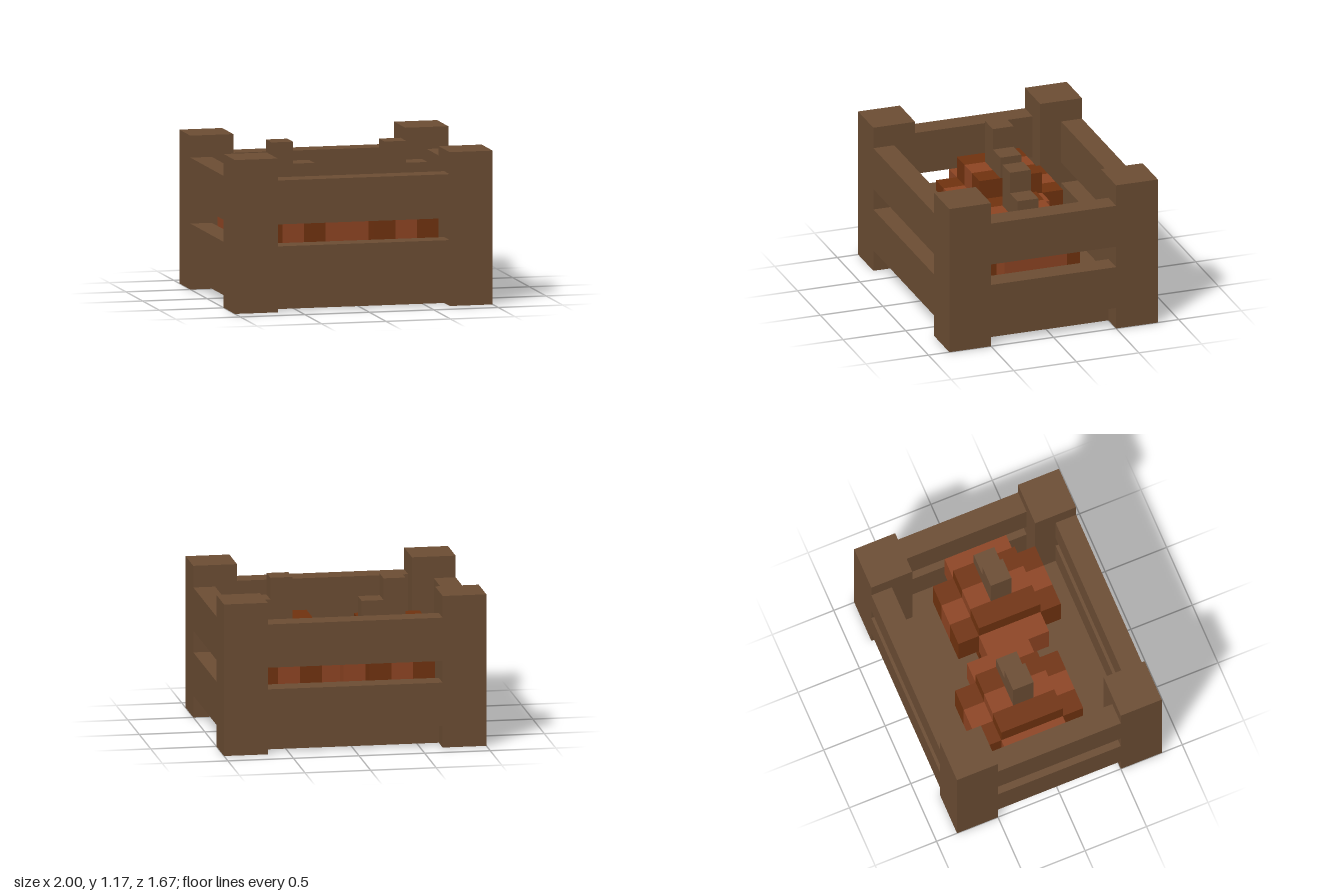
import * as THREE from 'three';

const U = 1 / 6; // size of one block

const wood = new THREE.MeshStandardMaterial({ color: 0x6d4e34 });
wood.name = 'brown wood';
const lightOrange = new THREE.MeshStandardMaterial({ color: 0x8f4523 });
lightOrange.name = 'light orange rind';
const darkOrange = new THREE.MeshStandardMaterial({ color: 0x72330f });
darkOrange.name = 'dark orange rind';

// Box given by its minimum and maximum corners, in blocks
function box(name, material, [x0, y0, z0], [x1, y1, z1]) {
  const geometry = new THREE.BoxGeometry((x1 - x0) * U, (y1 - y0) * U, (z1 - z0) * U);
  geometry.translate(((x0 + x1) / 2) * U, ((y0 + y1) / 2) * U, ((z0 + z1) / 2) * U);
  const mesh = new THREE.Mesh(geometry, material);
  mesh.name = name;
  return mesh;
}

// Rectangle with notched corners, extruded; half sizes and notch positions in blocks
function notchedSlab(w, h, notchW, notchH, depth) {
  const quarter = [[w, notchH], [notchW, notchH], [notchW, h]];
  const points = [];
  for (const [sx, sy] of [[1, 1], [-1, 1], [-1, -1], [1, -1]]) {
    const corner = quarter.map(([x, y]) => new THREE.Vector2(x * sx * U, y * sy * U));
    points.push(...(sx * sy > 0 ? corner : corner.reverse()));
  }
  const geometry = new THREE.ExtrudeGeometry(new THREE.Shape(points), {
    depth: depth * U, bevelEnabled: false,
  });
  return geometry.translate(0, 0, (-depth * U) / 2);
}

// Blocky pumpkin made of five upright slices, centred on x, z (in blocks)
function pumpkin(name, x, z) {
  const group = new THREE.Group();
  group.name = name;
  for (let i = -1; i <= 1; i++) {
    const slice = new THREE.Mesh(
      notchedSlab(2.5, 2, 1.5, 1, 1).rotateY(Math.PI / 2),
      i === 0 ? lightOrange : darkOrange,
    );
    slice.name = 'pumpkinRib';
    slice.position.set(i * U, 3 * U, 0);
    group.add(slice);
  }
  for (const s of [-1, 1]) {
    group.add(box('pumpkinSide', lightOrange, [s * 2 - 0.5, 2, -1.5], [s * 2 + 0.5, 4, 1.5]));
  }
  // Stepped stem
  group.add(box('stem', wood, [-0.5, 5, -0.5], [0.5, 7, 0.5]));
  group.add(box('stemStep', wood, [0.5, 5, -0.5], [1.5, 6, 0.5]));
  group.position.set(x * U, 0, z * U);
  return group;
}

export function createModel() {
  const model = new THREE.Group();
  model.name = 'pumpkinCrate';

  // Floor, notched around the posts
  const floor = new THREE.Mesh(notchedSlab(5, 4, 4, 3, 1).rotateX(-Math.PI / 2), wood);
  floor.name = 'floor';
  floor.position.y = U / 2;
  model.add(floor);

  // Corner posts
  for (const x of [-5, 5]) {
    for (const z of [-4, 4]) {
      model.add(box('cornerPost', wood, [x - 1, 0, z - 1], [x + 1, 7, z + 1]));
    }
  }

  // Two boards on each side
  for (const y of [1, 4]) {
    for (const s of [-1, 1]) {
      model.add(box(s > 0 ? 'frontBoard' : 'backBoard', wood,
        [-4, y, s * 4.5 - 0.5], [4, y + 2, s * 4.5 + 0.5]));
      model.add(box(s > 0 ? 'leftBoard' : 'rightBoard', wood,
        [s * 5.5 - 0.5, y, -3], [s * 5.5 + 0.5, y + 2, 3]));
    }
  }

  model.add(pumpkin('rightPumpkin', -2.5, -0.5));
  model.add(pumpkin('leftPumpkin', 2.5, 0.5));
  return model;
}
